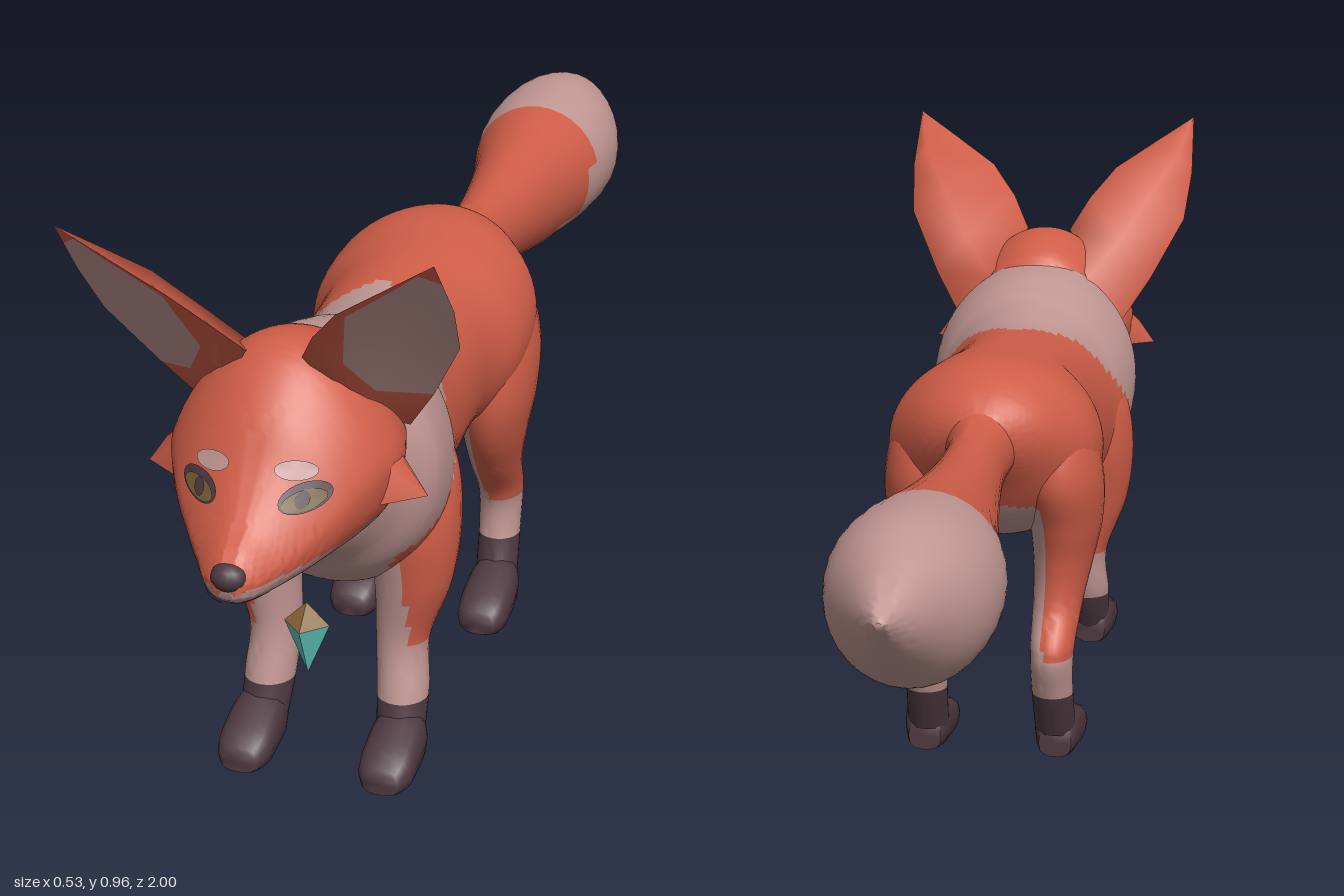
import * as THREE from 'three';
import { toCreasedNormals } from 'three/addons/utils/BufferGeometryUtils.js';
import { ConvexGeometry } from 'three/addons/geometries/ConvexGeometry.js';

const V = (x, y, z) => new THREE.Vector3(x, y, z);

// Joins rings of points into a capped skin
function skin(rings, crease = 1.05, flip = false) {
  const n = rings[0].length, m = rings.length, pos = [], idx = [];
  const tri = (a, b, c) => (flip ? idx.push(a, c, b) : idx.push(a, b, c));
  rings.forEach((r) => r.forEach((p) => pos.push(p.x, p.y, p.z)));
  for (let i = 0; i < m - 1; i++) {
    for (let j = 0; j < n; j++) {
      const k = (j + 1) % n;
      const a = i * n + j, b = i * n + k, c = b + n, d = a + n;
      tri(a, b, d);
      tri(b, c, d);
    }
  }
  [0, m - 1].forEach((i, end) => {
    const mid = V(0, 0, 0);
    rings[i].forEach((p) => mid.addScaledVector(p, 1 / n));
    pos.push(mid.x, mid.y, mid.z);
    for (let j = 0; j < n; j++) {
      const a = i * n + j, b = i * n + ((j + 1) % n);
      if (end) tri(m * n + end, a, b);
      else tri(m * n + end, b, a);
    }
  });
  const g = new THREE.BufferGeometry();
  g.setAttribute('position', new THREE.Float32BufferAttribute(pos, 3));
  g.setIndex(idx);
  return toCreasedNormals(g, crease);
}

// Smoothly interpolates rows of section values
function refine(rows, steps) {
  const out = [];
  for (let i = 0; i < rows.length - 1; i++) {
    const q = [rows[Math.max(i - 1, 0)], rows[i], rows[i + 1], rows[Math.min(i + 2, rows.length - 1)]];
    for (let s = 0; s < steps; s++) {
      const t = s / steps;
      out.push(rows[i].map((_, k) => {
        const [a, b, c, d] = q.map((r) => r[k]);
        return b + 0.5 * t * (c - a + t * (2 * a - 5 * b + 4 * c - d + t * (3 * (b - c) + d - a)));
      }));
    }
  }
  out.push(rows[rows.length - 1]);
  return out;
}

const soft = (v, e) => Math.sign(v) * Math.abs(v) ** e;
const angles = (n) => Array.from({ length: n }, (_, j) => (j / n) * Math.PI * 2);

// Sections along z: [z, top, bottom, half width]; taper narrows the upper half
function loftZ(rows, x, steps, sides, e = 1, taper = 0) {
  return skin(refine(rows, steps).map(([z, top, bot, w]) => angles(sides).map((a) => {
    const up = soft(Math.sin(a), e);
    const half = w * (1 - taper * Math.max(0, up));
    return V(x + half * soft(Math.cos(a), e), (top + bot) / 2 + ((top - bot) / 2) * up, z);
  })));
}

// Sections going down y: [y, centre x, centre z, half width, half depth]
function loftY(rows, side) {
  return skin(refine(rows, 8).map(([y, x, z, w, d]) => angles(28).map((a) =>
    V(side * x + w * Math.cos(a), y, z + d * Math.sin(a)))));
}

// Sorts quads (pairs of triangles) into one group for each colour
function paint(g, materials, rule) {
  const p = g.attributes.position, nor = g.attributes.normal;
  const lists = materials.map(() => []);
  for (let q = 0; q < p.count / 6; q++) {
    const c = V(0, 0, 0);
    for (let k = 6 * q; k < 6 * q + 6; k++) c.add(V(p.getX(k), p.getY(k), p.getZ(k)));
    lists[rule(c.divideScalar(6), q)].push(q);
  }
  const pos = [], norm = [], out = new THREE.BufferGeometry();
  lists.forEach((list, i) => {
    if (list.length) out.addGroup(pos.length / 3, list.length * 6, i);
    list.forEach((q) => {
      for (let k = 6 * q; k < 6 * q + 6; k++) {
        pos.push(p.getX(k), p.getY(k), p.getZ(k));
        norm.push(nor.getX(k), nor.getY(k), nor.getZ(k));
      }
    });
  });
  out.setAttribute('position', new THREE.Float32BufferAttribute(pos, 3));
  out.setAttribute('normal', new THREE.Float32BufferAttribute(norm, 3));
  return out;
}

export function createModel() {
  const fox = new THREE.Group();
  fox.name = 'fox';
  const mat = (name, color) => Object.assign(new THREE.MeshStandardMaterial({ color }), { name });
  const orange = mat('orange fur', 0xcf5d47), pale = mat('pale fur', 0xc09692), dark = mat('dark fur', 0x4d3840);
  const gold = mat('gold', 0x8a6534), teal = mat('teal gem', 0x62c8c0), iris = mat('iris', 0x735c34);
  const coat = [orange, pale, dark];
  const add = (name, g, m) => {
    const mesh = new THREE.Mesh(g, m);
    mesh.name = name;
    fox.add(mesh);
    return mesh;
  };
  const addFur = (name, g, rule) => add(name, paint(g, coat, rule), coat);

  // Body with pale ruff, chest and belly
  const inRuff = (c) => c.z > 0.36 + (0.68 - c.y) * 0.9 - 0.07 * Math.max(0, 1 - Math.abs(c.x) / 0.09);
  addFur('body', loftZ([
    [-0.12, 0.64, 0.56, 0.045], [-0.08, 0.67, 0.51, 0.1], [-0.03, 0.692, 0.44, 0.143], [0.03, 0.7, 0.395, 0.174],
    [0.12, 0.693, 0.37, 0.176], [0.21, 0.688, 0.355, 0.146], [0.35, 0.68, 0.325, 0.143], [0.45, 0.69, 0.295, 0.158],
    [0.5, 0.705, 0.29, 0.174], [0.56, 0.72, 0.3, 0.185], [0.62, 0.725, 0.34, 0.182], [0.66, 0.73, 0.38, 0.148],
    [0.7, 0.72, 0.41, 0.12], [0.75, 0.66, 0.45, 0.08],
  ], 0, 10, 64), (c) => {
    const belly = c.y < 0.31 + (0.48 - c.z) * 0.3;
    const chest = c.z > 0.48 && Math.abs(c.x) < 0.11 && c.y < 0.45;
    return inRuff(c) || belly || chest ? 1 : 0;
  });

  // Tail with pale tip and underside
  addFur('tail', loftZ([
    [-1, 0.605, 0.597, 0.004], [-0.91, 0.652, 0.51, 0.062], [-0.8, 0.685, 0.437, 0.115], [-0.68, 0.68, 0.433, 0.125],
    [-0.5, 0.652, 0.445, 0.088], [-0.3, 0.63, 0.483, 0.06], [-0.15, 0.635, 0.505, 0.05], [-0.06, 0.665, 0.53, 0.07],
  ], 0, 10, 32), (c) => (c.z < -0.63 + (c.y < 0.58 ? 0.03 : 0) || (c.z < -0.25 && c.y < 0.467 - (c.z + 0.45) * 0.2) ? 1 : 0));

  // Head
  const head = addFur('head', loftZ([
    [0.6, 0.7, 0.5, 0.1], [0.64, 0.745, 0.475, 0.14], [0.72, 0.772, 0.46, 0.165], [0.78, 0.757, 0.463, 0.157],
    [0.84, 0.7, 0.467, 0.13], [0.885, 0.632, 0.468, 0.099], [0.93, 0.578, 0.47, 0.067], [0.97, 0.548, 0.475, 0.04],
    [0.99, 0.525, 0.488, 0.016],
  ], 0, 10, 64, 0.88, 0.35), (c) => (c.y > 0.496 + Math.abs(c.x) * 0.18 + Math.max(0, 0.78 - c.z) * 0.25 ? 0 : 1));

  // Nose
  const nose = new THREE.SphereGeometry(1, 14, 10);
  nose.scale(0.026, 0.021, 0.024).translate(0, 0.517, 0.976);
  add('nose', nose, dark);

  // Thin face patches laid on the head surface
  const ray = new THREE.Raycaster();
  const patch = (name, m, x, y, rx, ry, tilt, lift) => {
    const g = new THREE.CircleGeometry(1, 20);
    g.scale(rx, ry, 1).rotateZ(tilt).translate(x, y, 0);
    const p = g.attributes.position;
    for (let i = 0; i < p.count; i++) {
      ray.set(V(p.getX(i), p.getY(i), 2), V(0, 0, -1));
      const hit = ray.intersectObject(head)[0];
      p.setZ(i, (hit ? hit.point.z : 0.9) + lift);
    }
    g.computeVertexNormals();
    add(name, g, m);
  };

  for (const s of [1, -1]) {
    const side = s > 0 ? 'left' : 'right';

    // Half of the mouth line, eye and brow
    patch(side + 'Mouth', dark, s * 0.026, 0.486, 0.022, 0.0016, s * 0.1, 0.007);
    patch(side + 'EyeRim', dark, s * 0.076, 0.6, 0.032, 0.019, s * 0.15, 0.004);
    patch(side + 'Iris', iris, s * 0.076, 0.597, 0.027, 0.013, s * 0.15, 0.006);
    patch(side + 'Pupil', dark, s * 0.074, 0.599, 0.009, 0.011, 0, 0.008);
    patch(side + 'Brow', pale, s * 0.06, 0.633, 0.028, 0.012, s * -0.12, 0.004);

    // Ear: inner edge, rim, hollow, outer edge and back at each level
    const tip = V(0.262, 0.96, 0.9);
    const levels = [
      [V(0.04, 0.76, 0.785), V(0.1, 0.67, 0.74), V(0.155, 0.62, 0.66), V(0.09, 0.7, 0.625)],
      [V(0.072, 0.812, 0.832), V(0.135, 0.71, 0.755), V(0.202, 0.69, 0.7), V(0.145, 0.765, 0.668)],
      [V(0.118, 0.865, 0.87), V(0.19, 0.822, 0.802), V(0.257, 0.79, 0.762), V(0.195, 0.842, 0.736)],
      [V(0.195, 0.916, 0.887), V(0.235, 0.889, 0.85), V(0.266, 0.868, 0.822), V(0.24, 0.902, 0.812)],
    ];
    const rim = [0.7, 0.48, 0.14, 0.14];
    for (const t of [0.6, 0.98]) {
      levels.push(levels[3].map((p) => p.clone().lerp(tip, t)));
      rim.push(0.15);
    }
    const earRings = levels.map(([inner, hollow, outer, back], i) =>
      [inner, inner.clone().lerp(hollow, rim[i]), hollow, outer, back].map((p) => V(p.x * s, p.y, p.z)));
    addFur(side + 'Ear', skin(earRings, 1.5, s < 0), (c, q) => {
      const column = q % 5;
      return (column === 1 || column === 2) && q >= 5 && q < 20 ? 1 : 0;
    });

    // Cheek tuft
    add(side + 'CheekTuft', toCreasedNormals(new ConvexGeometry([
      V(0.135, 0.625, 0.78), V(0.13, 0.548, 0.79), V(0.14, 0.553, 0.72), V(0.145, 0.62, 0.71),
      V(0.178, 0.597, 0.745), V(0.207, 0.556, 0.745),
    ].map((p) => V(p.x * s, p.y, p.z))), 1.3), orange);

    // Front leg and paw
    addFur(side + 'FrontLeg', loftY([
      [0.56, 0.1, 0.515, 0.05, 0.05], [0.5, 0.105, 0.515, 0.075, 0.066], [0.41, 0.112, 0.525, 0.078, 0.072],
      [0.31, 0.118, 0.53, 0.06, 0.055], [0.21, 0.102, 0.53, 0.041, 0.042], [0.13, 0.106, 0.545, 0.04, 0.042],
      [0.05, 0.11, 0.575, 0.036, 0.035],
    ], s), (c) => {
      if (c.y < 0.12) return 2;
      return c.y < 0.215 || inRuff(c) || Math.abs(c.x) < 0.122 - (c.z < 0.53 ? 0.03 : 0) ? 1 : 0;
    });
    add(side + 'FrontPaw', loftZ([
      [0.54, 0.07, 0.02, 0.028], [0.57, 0.105, 0.013, 0.04], [0.62, 0.09, 0.013, 0.043],
      [0.66, 0.07, 0.013, 0.041], [0.682, 0.052, 0.018, 0.028],
    ], s * 0.112, 3, 14, 0.75), dark);

    // Hind leg and paw
    addFur(side + 'HindLeg', loftY([
      [0.64, 0.09, 0.06, 0.03, 0.05], [0.58, 0.1, 0.05, 0.064, 0.09], [0.5, 0.112, 0.055, 0.071, 0.111],
      [0.42, 0.12, 0.07, 0.062, 0.1], [0.35, 0.117, 0.067, 0.051, 0.08], [0.28, 0.111, 0.04, 0.042, 0.058],
      [0.21, 0.107, -0.008, 0.037, 0.05], [0.14, 0.107, -0.003, 0.035, 0.038], [0.05, 0.11, 0.03, 0.035, 0.034],
    ], s), (c) => {
      if (c.y < 0.125) return 2;
      return c.y < 0.205 || (c.y < 0.46 && Math.abs(c.x) < 0.095) ? 1 : 0;
    });
    add(side + 'HindPaw', loftZ([
      [0, 0.06, 0.01, 0.028], [0.03, 0.095, 0.002, 0.038], [0.08, 0.082, 0, 0.043],
      [0.13, 0.06, 0, 0.041], [0.152, 0.042, 0.008, 0.028],
    ], s * 0.112, 3, 14, 0.75), dark);
  }

  // Pendant: gold cap above a pointed gem
  const cap = new THREE.ConeGeometry(0.035, 0.034, 4).toNonIndexed();
  cap.translate(0, 0.305, 0.675).computeVertexNormals();
  add('pendantCap', cap, gold);
  const gem = new THREE.ConeGeometry(0.035, 0.082, 4).toNonIndexed();
  gem.rotateX(Math.PI).translate(0, 0.247, 0.675).computeVertexNormals();
  add('pendantGem', gem, teal);

  return fox;
}
